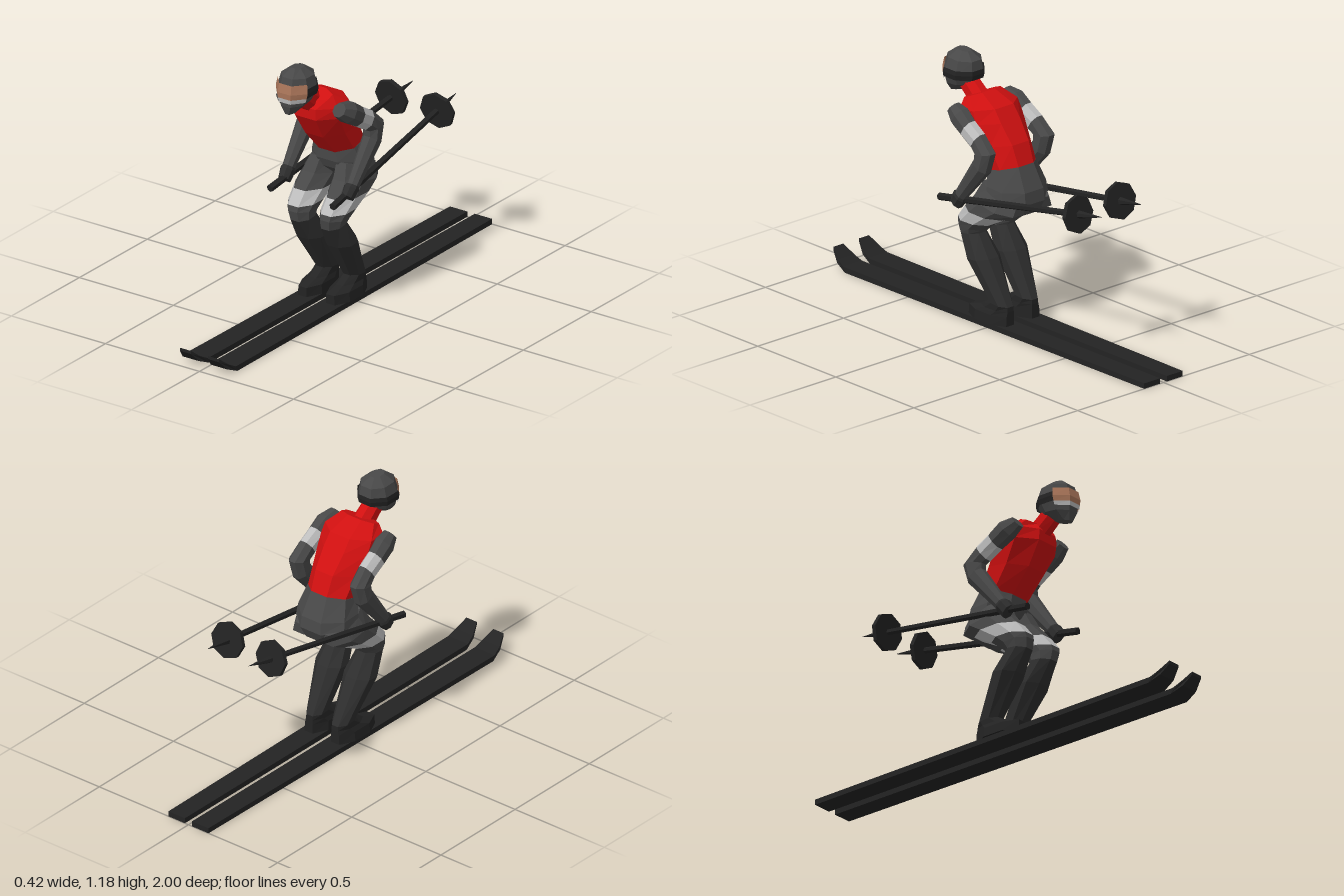
import * as THREE from 'three';

const mat = (name, color, side = THREE.FrontSide) => {
  const m = new THREE.MeshStandardMaterial({ color, flatShading: true, side });
  m.name = name;
  return m;
};

// Eight-sided flat-shaded loft. Rings run bottom to top, each
// [frontZ, frontY, backZ, backY, xMin, xMax]; facets 0-2 face forward.
function loft(rings, first = 0, last = 7) {
  const n = 8, k = 1 / Math.cos(Math.PI / n), pos = [];
  const pts = rings.map(([fz, fy, bz, by, x0, x1]) => {
    const ring = [];
    for (let i = 0; i <= n; i++) {
      const a = (i + 0.5) * 2 * Math.PI / n;
      const u = Math.cos(a) * k / 2, v = Math.sin(a) * k / 2;
      ring.push([(x0 + x1) / 2 + u * (x1 - x0), (fy + by) / 2 + v * (fy - by), (fz + bz) / 2 + v * (fz - bz)]);
    }
    return ring;
  });
  const tri = (a, b, c) => pos.push(...a, ...b, ...c);
  for (let j = 0; j < pts.length - 1; j++) {
    for (let i = first; i <= last; i++) {
      const [p, q] = [pts[j], pts[j + 1]];
      tri(p[i], q[i], p[i + 1]);
      tri(p[i + 1], q[i], q[i + 1]);
    }
  }
  // end caps on closed lofts
  if (last - first === n - 1) {
    const mid = ([fz, fy, bz, by, x0, x1]) => [(x0 + x1) / 2, (fy + by) / 2, (fz + bz) / 2];
    const lo = pts[0], hi = pts[pts.length - 1];
    const cl = mid(rings[0]), ch = mid(rings[rings.length - 1]);
    for (let i = 0; i < n; i++) {
      tri(cl, lo[i], lo[i + 1]);
      tri(ch, hi[i + 1], hi[i]);
    }
  }
  const g = new THREE.BufferGeometry();
  g.setAttribute('position', new THREE.Float32BufferAttribute(pos, 3));
  g.computeVertexNormals();
  return g;
}

// Ring centred on x = 0, and a mirrored ring for the right side
const mid = (fz, fy, bz, by, hw) => [fz, fy, bz, by, -hw, hw];
const flip = (rings, s) => s > 0 ? rings : rings.map(([a, b, c, d, x0, x1]) => [a, b, c, d, -x1, -x0]);

// Straight rod from a to b
function rod(a, b, r0, r1, sides) {
  const d = b.clone().sub(a);
  const g = new THREE.CylinderGeometry(r1, r0, d.length(), sides);
  g.applyQuaternion(new THREE.Quaternion().setFromUnitVectors(new THREE.Vector3(0, 1, 0), d.normalize()));
  const c = a.clone().add(b).multiplyScalar(0.5);
  return g.translate(c.x, c.y, c.z);
}

// Side profile with an upturned tip, tapered in plan
function skiGeometry(s) {
  const shape = new THREE.Shape([[-1, 0], [0.9, 0], [0.96, 0.026], [1, 0.07], [1, 0.085], [0.95, 0.045], [0.91, 0.025], [-1, 0.025]]
    .map(p => new THREE.Vector2(...p)));
  const g = new THREE.ExtrudeGeometry(shape, { depth: 1, bevelEnabled: false });
  g.rotateY(-Math.PI / 2);
  const p = g.attributes.position;
  for (let i = 0; i < p.count; i++) {
    const z = p.getZ(i), t = p.getX(i) + 1;
    const nose = Math.max(0, (z - 0.93) / 0.07) * 0.026;
    const inner = 0.02 + nose, outer = 0.121 + 0.009 * z - nose;
    p.setX(i, s > 0 ? inner + t * (outer - inner) : -outer + t * (outer - inner));
  }
  g.computeVertexNormals();
  return g;
}

export function createModel() {
  const model = new THREE.Group();
  const cloth = mat('charcoal cloth', 0x484848);
  const red = mat('red vest', 0xd01010);
  const silver = mat('reflective silver', 0xbcbcbc, THREE.DoubleSide);
  const lens = mat('tan lens', 0xa87458, THREE.DoubleSide);
  const dark = mat('dark grey', 0x2e2e2e);
  const black = mat('black', 0x232323, THREE.DoubleSide);
  const add = (name, geometry, material) => {
    const m = new THREE.Mesh(geometry, material);
    m.name = name;
    model.add(m);
  };

  // Torso, neck and hips
  add('vest', loft([
    mid(0.06, 0.705, -0.12, 0.755, 0.105),
    mid(0.155, 0.81, -0.085, 0.845, 0.115),
    mid(0.22, 0.915, -0.022, 0.93, 0.133),
    mid(0.22, 0.965, 0.02, 0.985, 0.13),
    mid(0.2, 1.0, 0.12, 1.03, 0.09)]), red);
  add('neck', loft([
    mid(0.215, 0.95, 0.12, 1.0, 0.045),
    mid(0.285, 1.01, 0.215, 1.075, 0.04)]), red);
  add('hips', loft([
    mid(-0.01, 0.565, -0.15, 0.54, 0.115),
    mid(0.045, 0.62, -0.178, 0.595, 0.135),
    mid(0.06, 0.66, -0.172, 0.65, 0.13),
    mid(0.06, 0.71, -0.12, 0.755, 0.107)]), cloth);

  // Head with goggles
  add('helmet', loft([
    mid(0.355, 0.98, 0.28, 0.995, 0.025),
    mid(0.366, 1.02, 0.215, 1.035, 0.06),
    mid(0.37, 1.085, 0.19, 1.085, 0.08),
    mid(0.352, 1.15, 0.197, 1.145, 0.066),
    mid(0.31, 1.183, 0.24, 1.178, 0.025)]), cloth);
  const gogglesLow = mid(0.374, 1.04, 0.197, 1.045, 0.074);
  const gogglesRim = mid(0.376, 1.06, 0.19, 1.062, 0.08);
  const gogglesMid = mid(0.377, 1.085, 0.184, 1.085, 0.085);
  add('goggleRim', loft([gogglesLow, gogglesRim], 0, 2), silver);
  add('goggleLens', loft([gogglesRim, gogglesMid, mid(0.368, 1.125, 0.186, 1.125, 0.078)], 0, 2), lens);
  add('goggleStrap', loft([gogglesRim, gogglesMid, mid(0.373, 1.105, 0.185, 1.105, 0.082)], 3, 7), black);

  for (const s of [1, -1]) {
    const side = s > 0 ? 'left' : 'right';
    const part = (name, rings, m) => add(side + name, loft(flip(rings, s)), m);

    // Leg
    const ankle = [0.015, 0.12, -0.098, 0.11, 0.03, 0.113];
    const knee = [0.187, 0.395, 0.07, 0.41, 0.03, 0.132];
    const bandLow = [0.19, 0.465, 0, 0.468, 0.022, 0.152];
    const bandHigh = [0.142, 0.525, -0.095, 0.52, 0.015, 0.16];
    part('Boot', [
      [0.14, 0.025, -0.1, 0.025, 0.02, 0.13],
      [0.14, 0.068, -0.1, 0.068, 0.022, 0.125],
      [0.07, 0.088, -0.1, 0.09, 0.028, 0.115],
      ankle], black);
    part('Shin', [ankle, [0.13, 0.295, 0.0, 0.31, 0.01, 0.15], knee], dark);
    part('Knee', [knee, [0.196, 0.44, 0.05, 0.43, 0.028, 0.143], bandLow], cloth);
    part('ThighBand', [bandLow, bandHigh], silver);
    part('Thigh', [bandHigh, [0.085, 0.59, -0.16, 0.55, 0.006, 0.157], [0.05, 0.66, -0.165, 0.6, 0.006, 0.13]], cloth);

    // Arm
    const wrist = [0.128, 0.617, 0.082, 0.583, 0.145, 0.197];
    const armLow = [0.026, 0.835, -0.023, 0.91, 0.13, 0.203];
    const armHigh = [0.09, 0.873, 0.045, 0.95, 0.125, 0.203];
    part('Hand', [[0.165, 0.575, 0.118, 0.532, 0.142, 0.193], [0.142, 0.61, 0.085, 0.57, 0.138, 0.2], wrist], dark);
    part('Forearm', [wrist, [0.006, 0.795, -0.067, 0.745, 0.133, 0.212], [0.005, 0.822, -0.097, 0.84, 0.133, 0.21], armLow], cloth);
    part('ArmBand', [armLow, armHigh], silver);
    part('Shoulder', [armHigh, [0.155, 0.91, 0.1, 0.99, 0.115, 0.202], [0.198, 0.95, 0.16, 1.0, 0.12, 0.18]], cloth);

    // Pole with basket and spike
    const grip = new THREE.Vector3(s * 0.167, 0.548, 0.25);
    const tip = new THREE.Vector3(s * 0.114, 0.716, -0.73);
    const at = t => grip.clone().lerp(tip, t);
    add(side + 'Pole', rod(grip, at(0.88), 0.017, 0.014, 6), black);
    add(side + 'PoleBasket', rod(at(0.842), at(0.862), 0.085, 0.085, 8), black);
    add(side + 'PoleSpike', rod(at(0.862), tip, 0.018, 0.001, 6), black);

    // Ski
    add(side + 'Ski', skiGeometry(s), black);
  }
  return model;
}
